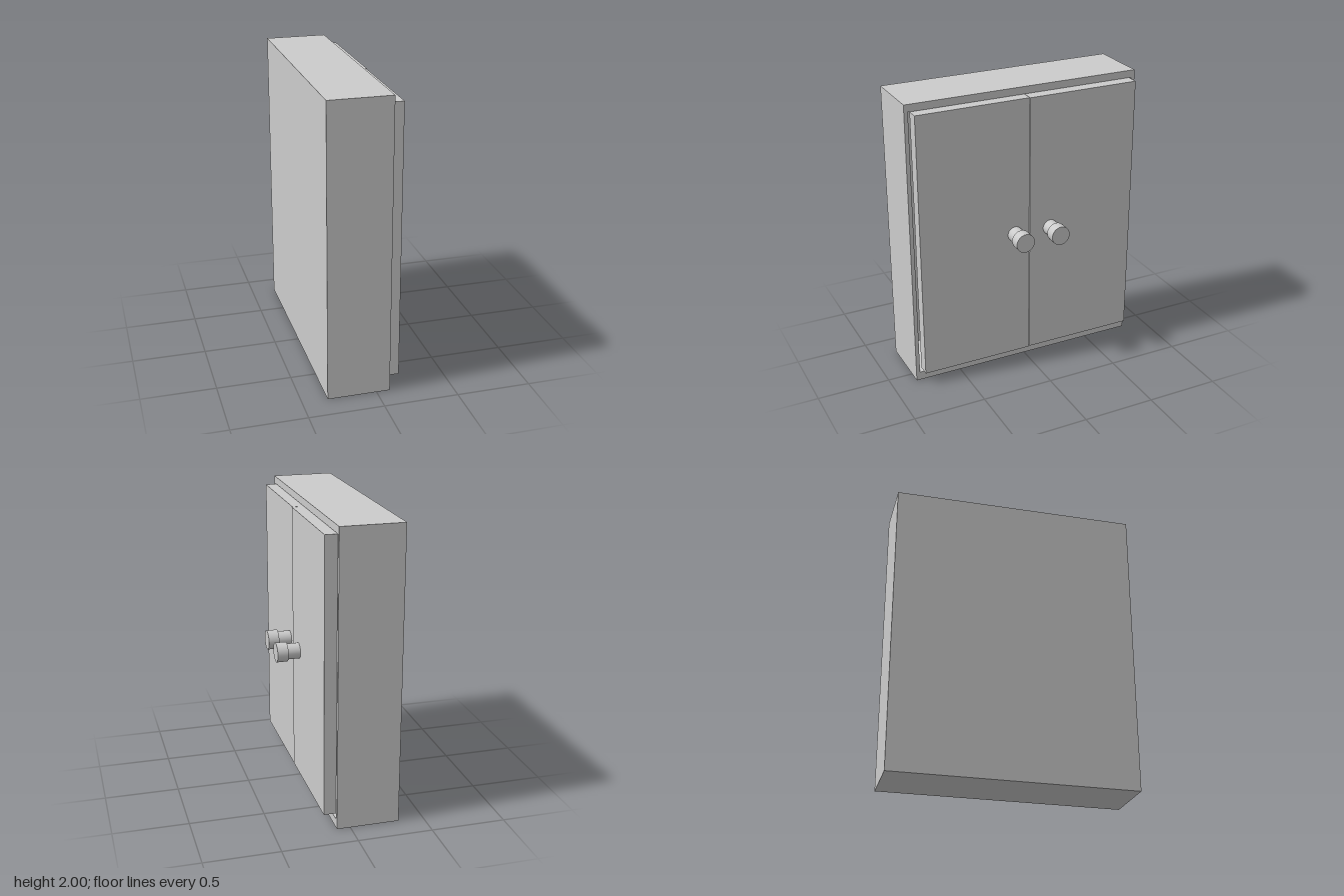
import * as THREE from 'three';

const material = new THREE.MeshStandardMaterial({ color: 0xcccccc });

function add(parent, name, geometry, x, y, z) {
  const mesh = new THREE.Mesh(geometry, material);
  mesh.name = name;
  mesh.position.set(x, y, z);
  parent.add(mesh);
  return mesh;
}

// Rectangular outline, u across the cabinet and v upwards
function rectangle(Type, u, v0, v1) {
  return new Type([[-u, v0], [u, v0], [u, v1], [-u, v1]].map(p => new THREE.Vector2(...p)));
}

export function createModel() {
  const group = new THREE.Group();
  group.name = 'wallCabinet';

  // Open carcass: outer walls around the door opening, doors facing +x
  const backX = -0.33, frontX = 0.09, backThickness = 0.03;
  const outline = rectangle(THREE.Shape, 0.826, 0, 2);
  outline.holes.push(rectangle(THREE.Path, 0.8, 0.06, 1.95));
  const carcass = new THREE.ExtrudeGeometry(outline, {
    depth: frontX - backX, bevelEnabled: false,
  });
  carcass.rotateY(Math.PI / 2);
  add(group, 'carcass', carcass, backX, 0, 0);
  add(group, 'backPanel', new THREE.BoxGeometry(backThickness, 1.89, 1.6),
    backX + backThickness / 2, 1.005, 0);

  // Two slightly uneven doors, each with a stepped knob
  const doors = [
    { side: 'left', z0: -0.788, z1: -0.003, bottom: 0.095, front: 0.168, knobZ: -0.157 },
    { side: 'right', z0: 0, z1: 0.785, bottom: 0.088, front: 0.163, knobZ: 0.105 },
  ];
  const doorBack = 0.08, doorTop = 1.947, knobY = 1.003;
  for (const d of doors) {
    const door = new THREE.Group();
    door.name = d.side + 'Door';
    add(door, 'doorPanel',
      new THREE.BoxGeometry(d.front - doorBack, doorTop - d.bottom, d.z1 - d.z0),
      (d.front + doorBack) / 2, (doorTop + d.bottom) / 2, (d.z0 + d.z1) / 2);

    // Knob parts are cylinders turned to point along x
    const knobPart = (name, radius, x0, x1) =>
      add(door, name, new THREE.CylinderGeometry(radius, radius, x1 - x0, 32).rotateZ(-Math.PI / 2),
        (x0 + x1) / 2, knobY, d.knobZ);
    knobPart('knobStem', 0.053, d.front - 0.01, 0.255);
    knobPart('knobHead', 0.066, 0.253, 0.326);
    group.add(door);
  }
  return group;
}
